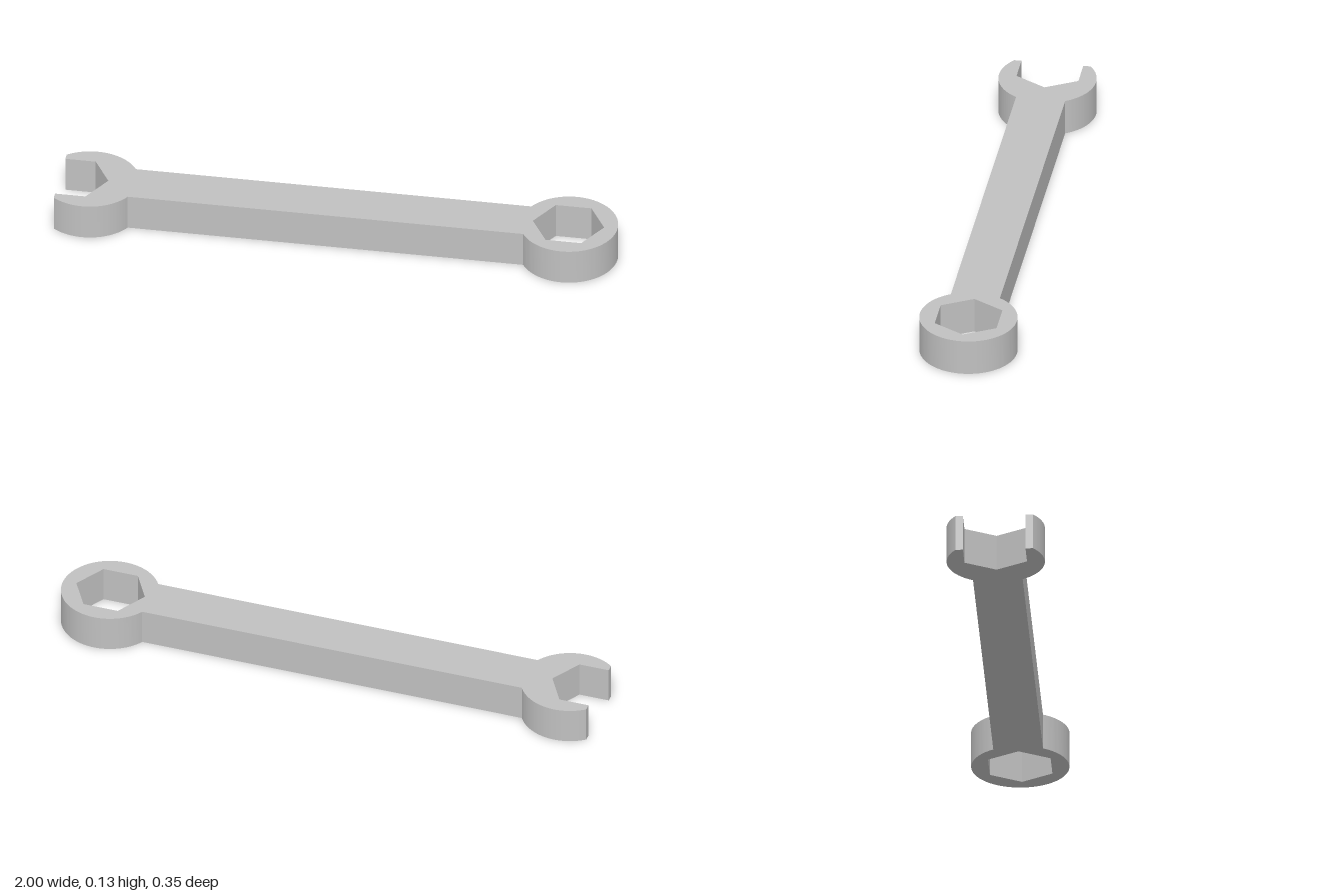
import * as THREE from 'three';
import { toCreasedNormals } from 'three/addons/utils/BufferGeometryUtils.js';

const HEIGHT = 0.132;       // thickness of the wrench
const R = 0.174;            // radius of both heads
const HANDLE = 0.088;       // half width of the handle
const JAW_X = -0.893;       // centre of the open head
const RING_X = 1 - R;       // centre of the ring head
const HEX = 0.128;          // corner radius of the nut openings
const FLAT = HEX * Math.sqrt(3) / 2;

export function createModel() {
  const group = new THREE.Group();
  group.name = 'wrench';
  const steel = new THREE.MeshStandardMaterial({ color: 0xc0c0c0 });
  steel.name = 'grey steel';

  // Angles where the handle meets a head, and where the jaw is cut off
  const join = Math.asin(HANDLE / R);
  const tip = Math.acos((-1 - JAW_X) / R);

  // Outline: lower jaw, ring head, upper jaw, joined by the handle edges
  const outline = new THREE.Shape();
  outline.absarc(JAW_X, 0, R, -tip, -join, false);
  outline.absarc(RING_X, 0, R, -Math.PI + join, Math.PI - join, false);
  outline.absarc(JAW_X, 0, R, join, tip, false);

  // Open jaw: half a hexagon running out through the end
  const mouthX = -0.955;
  outline.lineTo(-1, FLAT);
  outline.lineTo(mouthX + HEX / 2, FLAT);
  outline.lineTo(mouthX + HEX, 0);
  outline.lineTo(mouthX + HEX / 2, -FLAT);
  outline.lineTo(-1, -FLAT);
  outline.closePath();

  // Hexagonal hole in the ring head
  const corners = [];
  for (let i = 0; i < 6; i++) {
    const a = -i * Math.PI / 3;
    corners.push(new THREE.Vector2(RING_X - 0.002 + HEX * Math.cos(a), HEX * Math.sin(a)));
  }
  outline.holes.push(new THREE.Path(corners));

  // Extrude upwards, with smooth round heads and sharp edges
  const solid = new THREE.ExtrudeGeometry(outline, { depth: HEIGHT, bevelEnabled: false, curveSegments: 48 });
  solid.rotateX(-Math.PI / 2);
  const body = new THREE.Mesh(toCreasedNormals(solid, Math.PI / 6), steel);
  body.name = 'wrenchBody';
  group.add(body);
  return group;
}
